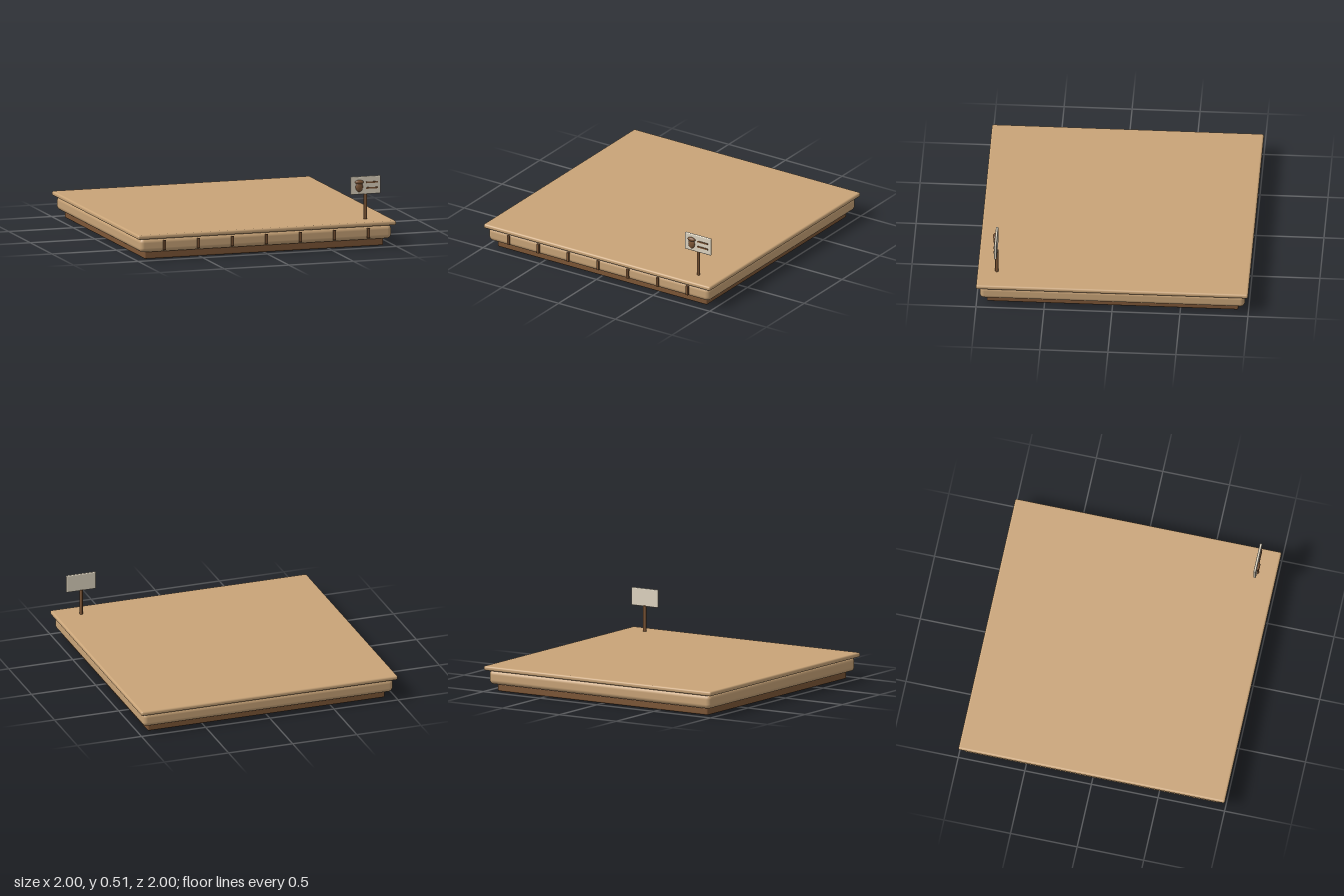
import * as THREE from 'three';
import { RoundedBoxGeometry } from 'three/addons/geometries/RoundedBoxGeometry.js';

const paint = (name, color) => {
  const m = new THREE.MeshStandardMaterial({ color });
  m.name = name;
  return m;
};

export function createModel() {
  const model = new THREE.Group();
  model.name = 'platformWithSign';

  const lightWood = paint('light wood', 0xc9a478);
  const darkWood = paint('dark wood', 0x7d5636);
  const cream = paint('cream board', 0xe0d6c2);

  const add = (name, geometry, material, x, y, z, parent = model) => {
    const mesh = new THREE.Mesh(geometry, material);
    mesh.name = name;
    mesh.position.set(x, y, z);
    parent.add(mesh);
    return mesh;
  };
  const block = (w, h, d, r) => new RoundedBoxGeometry(w, h, d, 4, r);

  // Stacked square layers: plinth, body and overhanging deck
  add('plinth', block(1.85, 0.06, 1.85, 0.012), darkWood, 0, 0.03, 0);
  add('body', block(1.95, 0.105, 1.95, 0.034), lightWood, 0, 0.108, 0);
  add('deck', block(2, 0.034, 2, 0.014), lightWood, 0, 0.175, 0);

  // Upright slats along the front edge
  for (let i = -3; i <= 3; i++) {
    add('frontSlat', block(0.02, 0.074, 0.018, 0.003), darkWood, i * 0.263, 0.108, 0.98);
  }

  // Sign on a round post
  const sign = new THREE.Group();
  sign.name = 'sign';
  sign.position.set(0.807, 0, 0.858);
  model.add(sign);
  add('signPost', new THREE.CylinderGeometry(0.012, 0.012, 0.2, 16), darkWood, 0, 0.285, 0, sign);
  add('signBoard', block(0.23, 0.134, 0.018, 0.007), cream, 0, 0.445, 0.004, sign);

  // Acorn emblem: nut and wider cap
  const ball = new THREE.SphereGeometry(1, 24, 16);
  add('acornNut', ball, darkWood, -0.052, 0.435, 0.014, sign).scale.set(0.028, 0.037, 0.014);
  add('acornCap', ball, darkWood, -0.052, 0.471, 0.015, sign).scale.set(0.034, 0.016, 0.017);

  // Two raised lines beside the emblem
  for (const y of [0.466, 0.424]) {
    add('signLine', new THREE.BoxGeometry(0.092, 0.011, 0.006), darkWood, 0.045, y, 0.015, sign);
  }
  return model;
}
